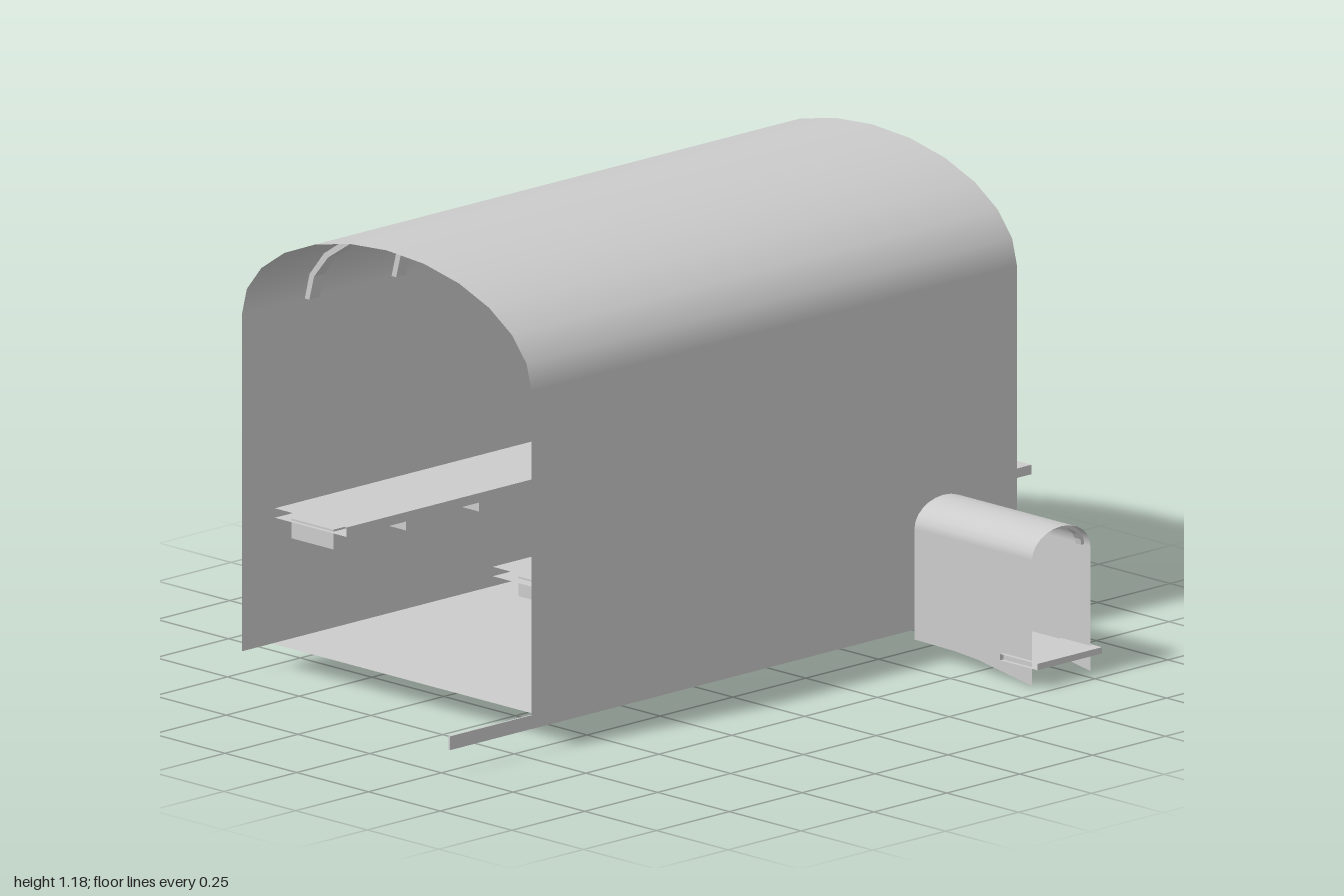
import * as THREE from 'three';

const grey = new THREE.MeshStandardMaterial({ color: 0xcccccc, side: THREE.DoubleSide });
const orange = new THREE.MeshStandardMaterial({ color: 0xd9863a });

function add(parent, name, geometry, x = 0, y = 0, z = 0, material = grey) {
  const mesh = new THREE.Mesh(geometry, material);
  mesh.name = name;
  mesh.position.set(x, y, z);
  parent.add(mesh);
  return mesh;
}

// Half-elliptic sheet with its axis along x
function vault(halfWidth, rise, length, segments = 12) {
  return new THREE.CylinderGeometry(1, 1, length, segments, 1, true, 0, Math.PI)
    .rotateZ(Math.PI / 2).scale(1, rise, halfWidth);
}

// Half-elliptic band, facing z, with a rectangular section
function arch(halfWidth, rise, thickness, depth, segments = 12) {
  const outer = [], inner = [];
  for (let i = 0; i <= segments; i++) {
    const a = Math.PI * i / segments;
    outer.push(new THREE.Vector2(halfWidth * Math.cos(a), rise * Math.sin(a)));
    inner.unshift(new THREE.Vector2((halfWidth - thickness) * Math.cos(a), (rise - thickness) * Math.sin(a)));
  }
  return new THREE.ExtrudeGeometry(new THREE.Shape([...outer, ...inner]), { depth, bevelEnabled: false })
    .translate(0, 0, -depth / 2);
}

// Plank without its two x ends
function plank(w, h, d) {
  const g = new THREE.BoxGeometry(w, h, d);
  g.setIndex(Array.from(g.index.array).slice(12));
  return g;
}

const polygon = (pts) => new THREE.ShapeGeometry(new THREE.Shape(pts.map(p => new THREE.Vector2(...p))));

export function createModel() {
  const model = new THREE.Group();
  model.name = 'vaultedHall';
  const x0 = -0.72, x1 = 0.945, zBack = -0.73, zFront = 0.28;
  const base = 0.065, eave = 0.92;
  const midX = (x0 + x1) / 2, midZ = (zBack + zFront) / 2, length = x1 - x0;

  // Hall shell, open at both ends; the front wall is notched for the doorway
  add(model, 'frontWall', polygon([
    [x0, base], [0.6, base], [0.6, 0.335], [0.79, 0.335], [0.79, base],
    [x1, base], [x1, eave], [x0, eave],
  ]), 0, 0, zFront);
  add(model, 'backWall', new THREE.PlaneGeometry(length, eave - base).rotateY(Math.PI), midX, (eave + base) / 2, zBack);
  add(model, 'vaultedRoof', vault((zFront - zBack) / 2, 0.26, length), midX, eave, midZ);
  add(model, 'floor', new THREE.PlaneGeometry(x1 + 0.617, zFront - zBack).rotateX(-Math.PI / 2),
    (x1 - 0.617) / 2, base, midZ);

  // Ribs under the roof
  for (let i = 0; i < 5; i++) {
    add(model, 'roofRib', arch(0.5, 0.255, 0.016, 0.035).rotateY(Math.PI / 2), 0.70 - i * 0.298, eave, midZ);
  }

  // Skirting strip along the front wall
  add(model, 'skirting', new THREE.BoxGeometry(1.58, 0.035, 0.005), -0.21, 0.0825, 0.277);

  // Two long benches, the second turned half round
  for (const turn of [0, Math.PI]) {
    const bench = new THREE.Group();
    bench.name = turn ? 'backBench' : 'frontBench';
    bench.position.set(0.194, 0, midZ);
    bench.rotation.y = turn;
    add(bench, 'benchTop', plank(1.602, 0.024, 0.25), 0, 0.394, 0.38);
    for (let i = 0; i < 7; i++) {
      add(bench, 'benchBlock', new THREE.BoxGeometry(0.06, 0.05, 0.145), 0.76 - i * 0.25, 0.362, 0.385);
    }
    model.add(bench);
  }

  // Wall torch
  const torch = new THREE.Group();
  torch.name = 'torch';
  torch.position.set(0.495, 0, -0.694);
  add(torch, 'torchHandle', new THREE.CylinderGeometry(0.005, 0.003, 0.07, 6), 0, 0.635, 0);
  add(torch, 'torchFlame', new THREE.ConeGeometry(0.01, 0.035, 6), 0, 0.685, 0, orange);
  add(torch, 'torchBracket', new THREE.BoxGeometry(0.006, 0.005, 0.034), 0, 0.63, -0.016);
  model.add(torch);

  // Entrance porch: side walls with a sloping foot, vault, front trim, floor and step
  const porch = new THREE.Group();
  porch.name = 'porch';
  porch.position.x = 0.693;
  const side = [[0.29, 0.04], [0.42, 0.038], [0.5, 0.032], [0.69, 0.002], [0.69, 0.32], [0.28, 0.32], [0.28, 0.04]];
  for (const s of [-1, 1]) {
    add(porch, 'porchWall', polygon(side.map(([z, y]) => [-z, y])).rotateY(Math.PI / 2), s * 0.1, 0, 0);
  }
  add(porch, 'porchRoof', vault(0.1, 0.068, 0.41).rotateY(Math.PI / 2), 0, 0.32, 0.485);
  add(porch, 'porchTrim', arch(0.099, 0.067, 0.01, 0.02), 0, 0.32, 0.66);
  add(porch, 'porchFloor', new THREE.PlaneGeometry(0.19, 0.31).rotateX(-Math.PI / 2), 0, base, 0.435);
  add(porch, 'porchStep', plank(0.222, 0.016, 0.13), 0, 0.058, 0.655);
  model.add(porch);

  return model;
}
